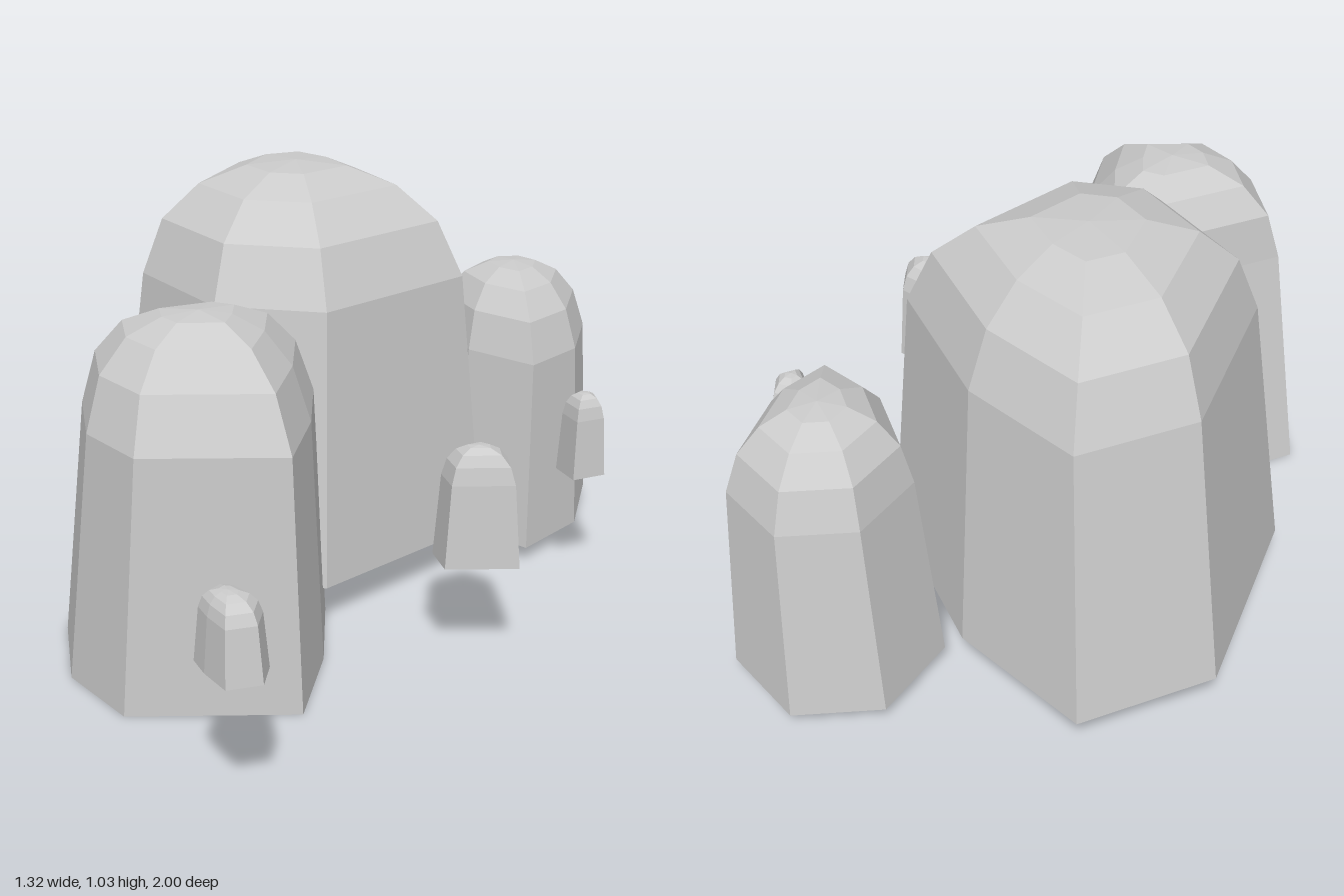
import * as THREE from 'three';

// Ring profile shared by every boulder: [outline scale, height fraction]
const PROFILE = [[1, 0], [0.845, 0.71], [0.725, 0.855], [0.52, 0.945], [0.265, 0.99]];

// Faceted dome, open underneath. outline: [x, z] corners of the base;
// centre: [x, z] of the apex; lean: [x, z] shift of the shoulder ring.
function boulderGeometry(outline, [cx, cz], bottom, top, [lx, lz] = [0, 0]) {
  const rings = PROFILE.map(([s, h], r) => {
    const lean = r === 1 ? 1 : r === 2 ? 0.4 : 0;
    return outline.map(([x, z]) => [
      cx + (x - cx) * s + lx * lean,
      bottom + (top - bottom) * h,
      cz + (z - cz) * s + lz * lean,
    ]);
  });
  const apex = [cx, top, cz];
  const n = outline.length;
  const pos = [];
  for (let i = 0; i < n; i++) {
    const j = (i + 1) % n;
    for (let r = 0; r < rings.length - 1; r++) {
      const a = rings[r][i], b = rings[r][j];
      const c = rings[r + 1][i], d = rings[r + 1][j];
      pos.push(...a, ...c, ...b, ...b, ...c, ...d);
    }
    const last = rings[rings.length - 1];
    pos.push(...last[i], ...apex, ...last[j]);
  }
  const geometry = new THREE.BufferGeometry();
  geometry.setAttribute('position', new THREE.Float32BufferAttribute(pos, 3));
  geometry.computeVertexNormals(); // unshared corners give flat facets
  return geometry;
}

const ROCKS = [
  {
    name: 'largeBoulder', centre: [-0.18, -0.22], bottom: 0.1, top: 1.035, lean: [0.012, 0],
    outline: [[-0.49, -0.69], [-0.12, -0.63], [0.28, -0.4], [0.18, 0.15], [-0.11, 0.28], [-0.505, 0.12], [-0.66, -0.395]],
  },
  {
    name: 'frontBoulder', centre: [0.04, 0.44], bottom: 0, top: 0.837, lean: [0.03, 0.02],
    outline: [[0.12, 0.07], [0.27, 0.29], [0.385, 0.53], [0.075, 0.765], [-0.14, 0.7], [-0.32, 0.52], [-0.09, 0.11]],
  },
  {
    name: 'backBoulder', centre: [0.16, -0.74], bottom: 0.04, top: 0.72, lean: [0.01, 0],
    outline: [[0.075, -1], [0.3, -0.945], [0.405, -0.69], [0.385, -0.46], [0.145, -0.485], [-0.065, -0.63], [-0.085, -0.86]],
  },
  {
    name: 'backPebble', centre: [0.52, -0.475], bottom: 0.28, top: 0.49,
    outline: [[0.465, -0.53], [0.53, -0.55], [0.58, -0.49], [0.535, -0.41], [0.46, -0.46]],
  },
  {
    name: 'middlePebble', centre: [0.545, 0.085], bottom: 0.25, top: 0.527,
    outline: [[0.51, -0.005], [0.6, 0], [0.655, 0.075], [0.52, 0.175], [0.45, 0.115]],
  },
  {
    name: 'frontPebble', centre: [0.495, 0.925], bottom: 0.315, top: 0.48,
    outline: [[0.465, 0.855], [0.555, 0.875], [0.59, 0.94], [0.545, 1], [0.47, 0.97], [0.42, 0.94], [0.42, 0.875]],
  },
];

export function createModel() {
  const stone = new THREE.MeshStandardMaterial({ color: 0xcccccc, side: THREE.DoubleSide });
  stone.name = 'stone grey';

  const group = new THREE.Group();
  group.name = 'boulderCluster';
  for (const { name, outline, centre, bottom, top, lean } of ROCKS) {
    const mesh = new THREE.Mesh(boulderGeometry(outline, centre, bottom, top, lean), stone);
    mesh.name = name;
    group.add(mesh);
  }
  return group;
}
